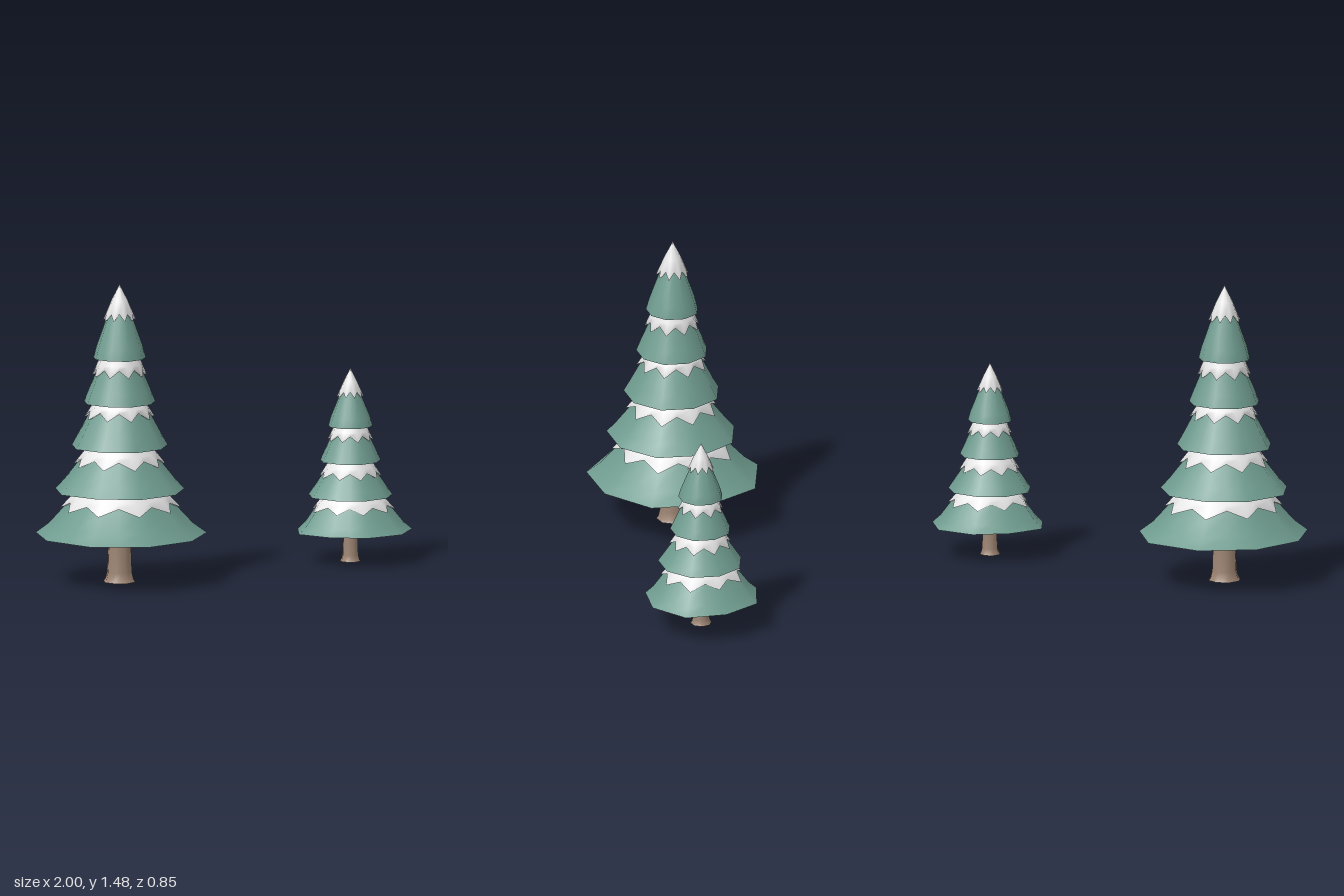
import * as THREE from 'three';
import { mergeGeometries } from 'three/addons/utils/BufferGeometryUtils.js';

const SEGS = 18; // nine corners and nine edge midpoints

const mat = (name, color) => {
  const m = new THREE.MeshStandardMaterial({ color });
  m.name = name;
  return m;
};

// Skins rings, listed in order from the underside outward and up; each ring maps a segment to [radius, y].
function skin(rings, segs = SEGS) {
  const pos = [], index = [];
  for (const ring of rings) {
    for (let s = 0; s < segs; s++) {
      const a = Math.PI - (s / segs) * Math.PI * 2;
      const [r, y] = ring(s);
      pos.push(r * Math.cos(a), y, r * Math.sin(a));
    }
  }
  for (let k = 0; k < rings.length - 1; k++) {
    for (let s = 0; s < segs; s++) {
      const t = (s + 1) % segs;
      const a = k * segs + s, b = k * segs + t;
      index.push(a, b, b + segs, a, b + segs, a + segs);
    }
  }
  const g = new THREE.BufferGeometry();
  g.setAttribute('position', new THREE.Float32BufferAttribute(pos, 3));
  g.setIndex(index);
  g.computeVertexNormals();
  return g;
}

// Radius of a [radius, y] profile at height y
function radiusAt(profile, y) {
  for (let i = 1; i < profile.length; i++) {
    const [r0, y0] = profile[i - 1], [r1, y1] = profile[i];
    if (y <= y1) return r0 + (r1 - r0) * (y - y0) / (y1 - y0);
  }
  return 0;
}

// Uneven nine-sided outline: corners scaled by the list, midpoints on the straight edges
function outline(corners) {
  return (s) => {
    const i = s >> 1;
    if (s % 2 === 0) return corners[i];
    return 0.5 * (corners[i] + corners[(i + 1) % 9]) * Math.cos(Math.PI / 9);
  };
}

function makeTree(name, spec, mats) {
  const tree = new THREE.Group();
  tree.name = name;
  const add = (part, geometry, material) => {
    const m = new THREE.Mesh(geometry, material);
    m.name = part;
    tree.add(m);
  };

  // Trunk with flared, slightly ribbed foot
  const { r, h } = spec.trunk;
  const rib = (s) => (s % 2 ? 0.93 : 1.02);
  const trunkRows = [[1.36, 0], [1.2, 0.06], [1.06, 0.2], [1, 0.6], [0.93, 1.05]];
  const trunkSide = skin(trunkRows.map(([k, y]) => (s) => [r * k * rib(s), y * h]), 16);
  const trunkBase = skin([() => [0, 0], (s) => [r * 1.36 * rib(s), 0]], 16);
  add('trunk', mergeGeometries([trunkSide, trunkBase]), mats.bark);

  spec.tiers.forEach((tier, i) => {
    const { profile, snow } = tier;
    const shape = outline(i === 0 ? spec.rim : spec.upperRim);
    const [baseR, baseY] = profile[0];
    const top = profile[profile.length - 1];

    // Branch skirt with a closed underside
    const side = skin(profile.map(([pr, py]) => (s) => [pr * shape(s), py]));
    const under = skin([() => [0, baseY], (s) => [baseR * shape(s), baseY]]);
    add('branchTier' + (i + 1), mergeGeometries([side, under]), mats.needles);

    // Snow collar with a zigzag hem, tucked in underneath
    const t = spec.snowThickness;
    const hemY = (s) => snow + (s % 2 ? 1 : -1) * spec.tooth;
    const at = (y, extra) => (s) => [(radiusAt(profile, y) + extra) * shape(s), y];
    const hem = (s) => [(radiusAt(profile, hemY(s)) + t) * shape(s), hemY(s)];
    const tuck = (s) => [(radiusAt(profile, hemY(s)) - t * 0.5) * shape(s), hemY(s) + t * 0.3];
    const midY = snow + (top[1] - snow) * 0.5;
    const crown = top[0] === 0 ? () => [0, top[1] + 0.005] : at(top[1], t * 0.6);
    add('snowCollar' + (i + 1), skin([tuck, hem, at(midY, t * 0.8), crown]), mats.snow);
  });
  return tree;
}

export function createModel() {
  const mats = {
    needles: mat('needleGreen', 0x6f9b8f),
    snow: mat('snowWhite', 0xe6e6e6),
    bark: mat('barkBrown', 0x9c8472),
  };
  const upperRim = [1.02, 0.98, 1.02, 1, 1.01, 0.99, 1, 0.98, 1];

  const large = makeTree('largeTree', {
    trunk: { r: 0.059, h: 0.24 },
    snowThickness: 0.013,
    tooth: 0.018,
    rim: [0.98, 1, 1.02, 0.99, 1.04, 1.01, 1.06, 1.04, 1],
    upperRim,
    tiers: [
      { profile: [[0.418, 0.233], [0.35, 0.285], [0.27, 0.375], [0.195, 0.465]], snow: 0.38 },
      { profile: [[0.32, 0.455], [0.275, 0.505], [0.2, 0.6], [0.14, 0.685]], snow: 0.6 },
      { profile: [[0.238, 0.675], [0.205, 0.735], [0.152, 0.835], [0.11, 0.905]], snow: 0.835 },
      { profile: [[0.177, 0.893], [0.155, 0.95], [0.115, 1.045], [0.087, 1.125]], snow: 1.045 },
      { profile: [[0.13, 1.113], [0.115, 1.17], [0.062, 1.32], [0, 1.475]], snow: 1.32 },
    ],
  }, mats);
  large.position.x = -0.59;

  const small = makeTree('smallTree', {
    trunk: { r: 0.038, h: 0.155 },
    snowThickness: 0.01,
    tooth: 0.014,
    rim: [1.03, 0.94, 0.98, 1.05, 1.1, 1.02, 1.07, 1.01, 0.94],
    upperRim,
    tiers: [
      { profile: [[0.28, 0.153], [0.24, 0.19], [0.185, 0.265], [0.125, 0.34]], snow: 0.268 },
      { profile: [[0.208, 0.327], [0.182, 0.365], [0.135, 0.435], [0.092, 0.51]], snow: 0.435 },
      { profile: [[0.15, 0.5], [0.132, 0.54], [0.098, 0.615], [0.07, 0.68]], snow: 0.617 },
      { profile: [[0.11, 0.672], [0.098, 0.715], [0.05, 0.835], [0, 0.955]], snow: 0.832 },
    ],
  }, mats);
  small.position.x = 0.71;

  const group = new THREE.Group();
  group.name = 'snowyTrees';
  group.add(large, small);
  return group;
}
